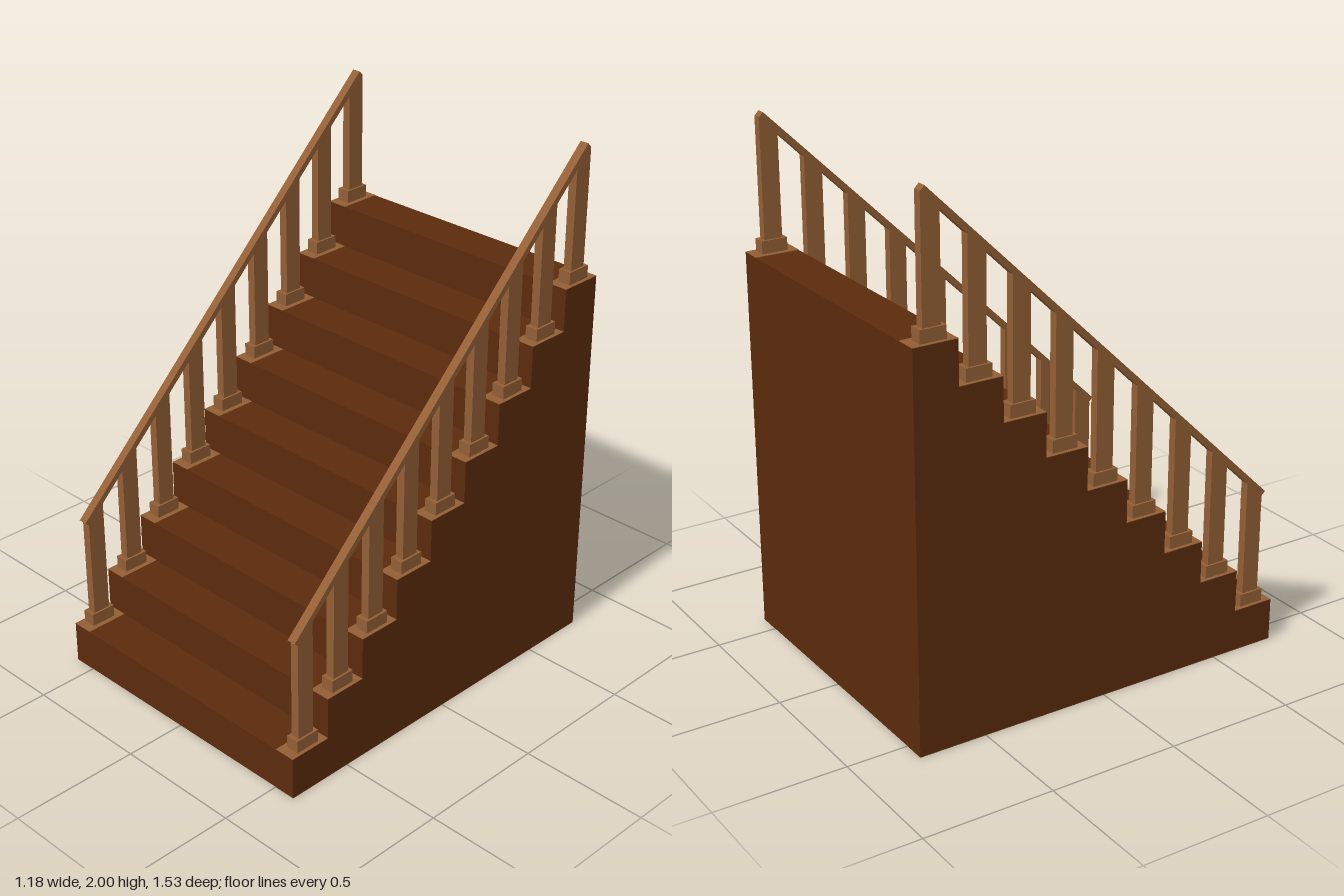
import * as THREE from 'three';

const STEPS = 9, RISE = 0.165, RUN = 0.17;
const FRONT = (STEPS * RUN) / 2, HALF_W = 0.588;
const STRIP_W = 0.083, PLATE = 0.002;
const RAIL_X = 0.549, RAIL_W = 0.034, RAIL_DROP = 0.032;
const SLOPE = RISE / RUN;

// top line of the handrail
const railTop = (z) => 0.613 + (0.73 - z) * SLOPE;

// extrude a side profile of [z, y] points across x
function sideExtrude(points, width) {
  const shape = new THREE.Shape(points.map(([z, y]) => new THREE.Vector2(z, y)));
  const geo = new THREE.ExtrudeGeometry(shape, { depth: width, bevelEnabled: false });
  return geo.translate(0, 0, -width / 2).rotateY(-Math.PI / 2);
}

export function createModel() {
  const model = new THREE.Group();
  model.name = 'staircase';
  const darkWood = new THREE.MeshStandardMaterial({ color: 0x5b2b0c });
  darkWood.name = 'darkWood';
  const lightWood = new THREE.MeshStandardMaterial({ color: 0x935f35 });
  lightWood.name = 'lightWood';

  const add = (parent, name, geo, mat, x = 0, y = 0, z = 0) => {
    const mesh = new THREE.Mesh(geo, mat);
    mesh.name = name;
    mesh.position.set(x, y, z);
    parent.add(mesh);
  };

  // solid stepped body
  const profile = [[-FRONT, PLATE], [FRONT, PLATE]];
  for (let i = 0; i < STEPS; i++) {
    profile.push([FRONT - i * RUN, (i + 1) * RISE], [FRONT - (i + 1) * RUN, (i + 1) * RISE]);
  }
  add(model, 'steps', sideExtrude(profile, HALF_W * 2), darkWood);

  const treadStrip = new THREE.BoxGeometry(STRIP_W, PLATE, RUN);
  const bottomStrip = new THREE.BoxGeometry(STRIP_W, PLATE, FRONT * 2);
  const base = new THREE.BoxGeometry(0.051, 0.05, 0.1);

  for (const side of [-1, 1]) {
    const railing = new THREE.Group();
    railing.name = side > 0 ? 'leftRailing' : 'rightRailing';
    model.add(railing);
    const stripX = side * (HALF_W - STRIP_W / 2), x = side * RAIL_X;
    add(railing, 'bottomStrip', bottomStrip, lightWood, stripX, PLATE / 2, 0);

    // one strip, base and sloped-top baluster per step
    for (let i = 0; i < STEPS; i++) {
      const z = FRONT - (i + 0.5) * RUN, y = (i + 1) * RISE;
      add(railing, 'treadStrip', treadStrip, lightWood, stripX, y + PLATE / 2, z);
      add(railing, 'balusterBase', base, lightWood, x, y + 0.025, z);
      const z0 = z - 0.035, z1 = z + 0.035;
      const post = [
        [z0, y], [z1, y],
        [z1, railTop(z1) - RAIL_DROP], [z0, railTop(z0) - RAIL_DROP],
      ];
      add(railing, 'baluster', sideExtrude(post, RAIL_W), lightWood, x);
    }

    // handrail with square-cut ends
    const low = 0.73, high = -0.698, cut = 0.016;
    const under = (z) => railTop(z) - RAIL_DROP;
    const rail = [
      [high, railTop(high)], [high - cut, under(high - cut)],
      [low - cut, under(low - cut)], [low, railTop(low)],
    ];
    add(railing, 'handrail', sideExtrude(rail, RAIL_W), lightWood, x);
  }
  return model;
}
